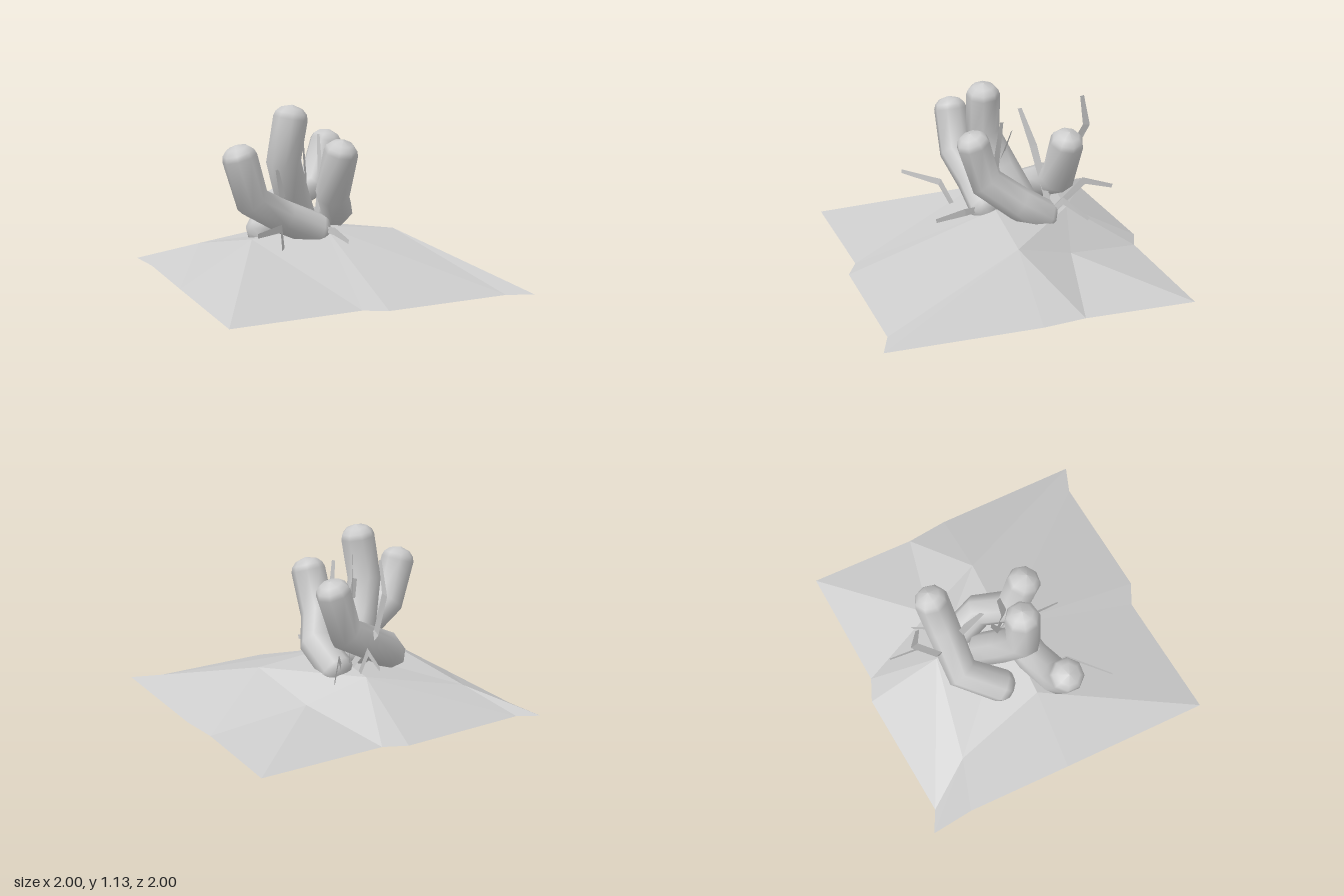
import * as THREE from 'three';

const grey = new THREE.MeshStandardMaterial({ color: 0xcccccc });
const greyFlat = new THREE.MeshStandardMaterial({ color: 0xcccccc, flatShading: true, side: THREE.DoubleSide });
const V = (p) => new THREE.Vector3(...p);

function makeGeometry(points, index) {
  const g = new THREE.BufferGeometry();
  g.setAttribute('position', new THREE.Float32BufferAttribute(points.flatMap((p) => [p.x, p.y, p.z]), 3));
  g.setIndex(index);
  g.computeVertexNormals();
  return g;
}

// Uneven open mound: six raised points inside a jagged rim lying on the ground
function createMound() {
  const raised = [
    [-0.66, 0.15, -0.62], [0, 0.28, -0.5], [0.37, 0.13, -0.4],
    [-0.5, 0.28, 0], [0, 0.33, 0], [0.5, 0.28, 0],
  ].map(V);
  const rim = [
    [-1, -0.99], [-0.86, -0.92], [0, -1], [0.15, -0.94], [0.98, -1], [0.97, -0.28], [1, 0],
    [1, 0.98], [0.83, 0.92], [0, 0.99], [-0.14, 0.92], [-0.99, 1], [-0.98, 0], [-0.97, -0.71],
  ].map(([x, z]) => new THREE.Vector3(x, 0, z));
  const [A, B, C, D, P, E] = [0, 1, 2, 3, 4, 5];
  const r = (i) => 6 + i;
  const tris = [
    // back slope
    [r(0), A, r(1)], [r(0), r(13), A], [r(1), A, B], [r(1), B, r(2)], [r(2), B, r(3)],
    [r(3), B, C], [r(3), C, r(4)], [C, r(5), r(4)],
    // +x slope
    [C, E, r(5)], [E, r(6), r(5)], [E, r(7), r(6)], [E, r(8), r(7)],
    // front slope
    [P, r(8), E], [P, r(9), r(8)], [P, r(10), r(9)], [P, D, r(10)],
    // -x slope
    [D, r(11), r(10)], [D, r(12), r(11)], [A, r(12), D], [A, r(13), r(12)],
    // crown
    [A, D, P], [A, P, B], [B, P, E], [B, E, C],
  ];
  const mesh = new THREE.Mesh(makeGeometry([...raised, ...rim], tris.flat()), greyFlat);
  mesh.name = 'mound';
  return mesh;
}

// Bent eight-sided stalk with domed ends, lofted along a path from base to tip
function createStalk(path, radius = 0.112, sides = 8) {
  const p = path.map(V);
  const last = p.length - 1;
  const dir = (i) => p[i + 1].clone().sub(p[i]).normalize();
  const tangents = p.map((_, i) =>
    i === 0 ? dir(0) : i === last ? dir(last - 1) : dir(i - 1).add(dir(i)).normalize());
  const rings = [];
  const cap = [[0.75, 0.02], [0.58, 0.62], [0.3, 0.9]];
  cap.forEach(([d, s]) => rings.push([p[0].clone().addScaledVector(tangents[0], -d * radius), tangents[0], s]));
  p.forEach((q, i) => rings.push([q, tangents[i], 1]));
  [...cap].reverse().forEach(([d, s]) =>
    rings.push([p[last].clone().addScaledVector(tangents[last], d * radius), tangents[last], s]));

  const points = [], index = [];
  let u = new THREE.Vector3(0.3, 0.2, 1);
  rings.forEach(([c, t, s], k) => {
    u = u.clone().addScaledVector(t, -u.dot(t)).normalize();
    const v = t.clone().cross(u);
    for (let j = 0; j < sides; j++) {
      const a = (j / sides) * Math.PI * 2;
      points.push(c.clone()
        .addScaledVector(u, Math.cos(a) * radius * s)
        .addScaledVector(v, Math.sin(a) * radius * s));
      if (k === rings.length - 1) continue;
      const n = (j + 1) % sides, o = k * sides;
      index.push(o + j, o + n, o + sides + n, o + j, o + sides + n, o + sides + j);
    }
  });
  return new THREE.Mesh(makeGeometry(points, index), grey);
}

// Thin bent leaf blade, widened within its own upright plane
function createBlade(path) {
  const p = path.map(V);
  const last = p.length - 1;
  const out = p[last].clone().sub(p[0]).setY(0).normalize();
  const side = new THREE.Vector3(-out.z, 0, out.x);
  const points = [], index = [];
  p.forEach((q, i) => {
    const t = p[Math.min(i + 1, last)].clone().sub(p[Math.max(i - 1, 0)]).normalize();
    const w = t.cross(side).normalize();
    const half = i === last ? 0.014 : i === 0 ? 0.02 : 0.026;
    points.push(q.clone().addScaledVector(w, half), q.clone().addScaledVector(w, -half));
    if (i < last) index.push(2 * i, 2 * i + 1, 2 * i + 2, 2 * i + 1, 2 * i + 3, 2 * i + 2);
  });
  return new THREE.Mesh(makeGeometry(points, index), greyFlat);
}

export function createModel() {
  const model = new THREE.Group();
  model.name = 'plantOnMound';
  model.add(createMound());

  const stalks = {
    sideStalk: [[-0.07, 0.32, 0.04], [-0.3, 0.42, 0.06], [-0.535, 0.55, 0.12], [-0.62, 0.83, 0.13]],
    tallStalk: [[-0.09, 0.34, -0.2], [-0.19, 0.55, -0.1], [-0.28, 0.77, 0], [-0.235, 1.05, 0.01]],
    frontStalk: [[0.1, 0.29, -0.3], [0.14, 0.42, -0.12], [0.03, 0.55, 0.07], [0.05, 0.83, 0.16]],
    backStalk: [[-0.36, 0.29, -0.19], [-0.2, 0.41, -0.4], [0.09, 0.55, -0.4], [0.19, 0.83, -0.42]],
  };
  for (const [name, path] of Object.entries(stalks)) {
    const stalk = createStalk(path);
    stalk.name = name;
    model.add(stalk);
  }

  // Blades, each from root to tip
  const leaves = new THREE.Group();
  leaves.name = 'leafBlades';
  [
    [[-0.36, 0.24, 0.2], [-0.4, 0.39, 0.27], [-0.63, 0.4, 0.48]],
    [[-0.03, 0.33, 0.12], [-0.01, 0.33, 0.2], [0, 0.3, 0.4]],
    [[0, 0.3, -0.32], [-0.07, 0.56, -0.5], [-0.04, 0.84, -0.64], [-0.03, 1.05, -0.6]],
    [[0, 0.28, -0.42], [0.05, 0.48, -0.6], [0.08, 0.43, -0.79]],
    [[0.08, 0.28, -0.35], [0.15, 0.4, -0.42], [0.26, 0.3, -0.56]],
    [[0.04, 0.33, -0.36], [-0.03, 0.74, -0.27], [-0.08, 0.99, -0.19]],
    [[-0.05, 0.33, -0.1], [-0.13, 0.62, -0.08], [-0.12, 0.82, -0.15]],
    [[-0.03, 0.3, -0.08], [-0.02, 0.62, -0.01], [-0.02, 0.93, -0.05]],
    [[-0.18, 0.33, 0], [-0.31, 0.54, 0.06], [-0.35, 0.73, 0.07]],
  ].forEach((path) => {
    const blade = createBlade(path);
    blade.name = 'leafBlade';
    leaves.add(blade);
  });
  model.add(leaves);
  return model;
}
